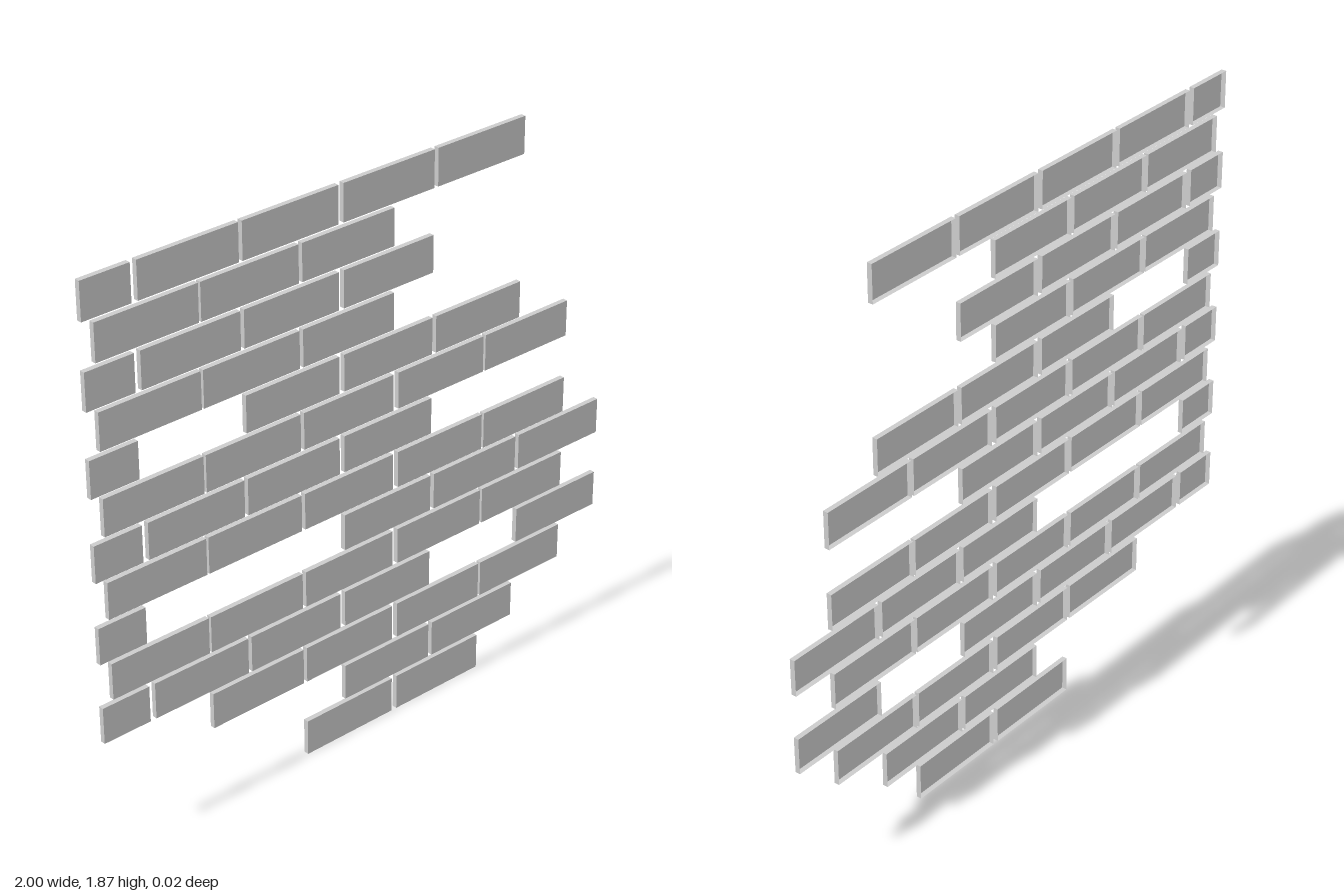
import * as THREE from 'three';

const BRICK_HEIGHT = 0.121;
const ROW_PITCH = 0.1348;
const DEPTH = 0.017;

// [left, right] of each brick slot in the two alternating courses
const EVEN = [[-0.961, -0.608], [-0.6, -0.249], [-0.236, 0.113], [0.133, 0.482], [0.491, 0.841]];
const ODD = [[-1, -0.833], [-0.812, -0.463], [-0.45, -0.1], [-0.081, 0.268], [0.283, 0.632], [0.647, 1]];

// Filled slots of each course, bottom to top
const COURSES = ['23', '34', '1234', '01235', '01234', '0345', '01234',
  '0123', '01234', '0234', '012', '0123', '012', '01234'];

// Thin brick slip: front face and four sides, hollow at the back
function slipGeometry(width) {
  const geometry = new THREE.BoxGeometry(width, BRICK_HEIGHT, DEPTH);
  geometry.setIndex(Array.from(geometry.index.array).slice(0, 30));
  geometry.clearGroups();
  return geometry;
}

export function createModel() {
  const model = new THREE.Group();
  model.name = 'brickPatch';
  const material = new THREE.MeshStandardMaterial({ color: 0xcccccc, side: THREE.DoubleSide });

  COURSES.forEach((filled, row) => {
    const course = new THREE.Group();
    course.name = `course${row + 1}`;
    course.position.y = BRICK_HEIGHT / 2 + row * ROW_PITCH;
    const slots = row % 2 ? ODD : EVEN;
    for (const slot of filled) {
      const [left, right] = slots[Number(slot)];
      const brick = new THREE.Mesh(slipGeometry(right - left), material);
      brick.name = 'brick';
      brick.position.x = (left + right) / 2;
      course.add(brick);
    }
    model.add(course);
  });
  return model;
}
